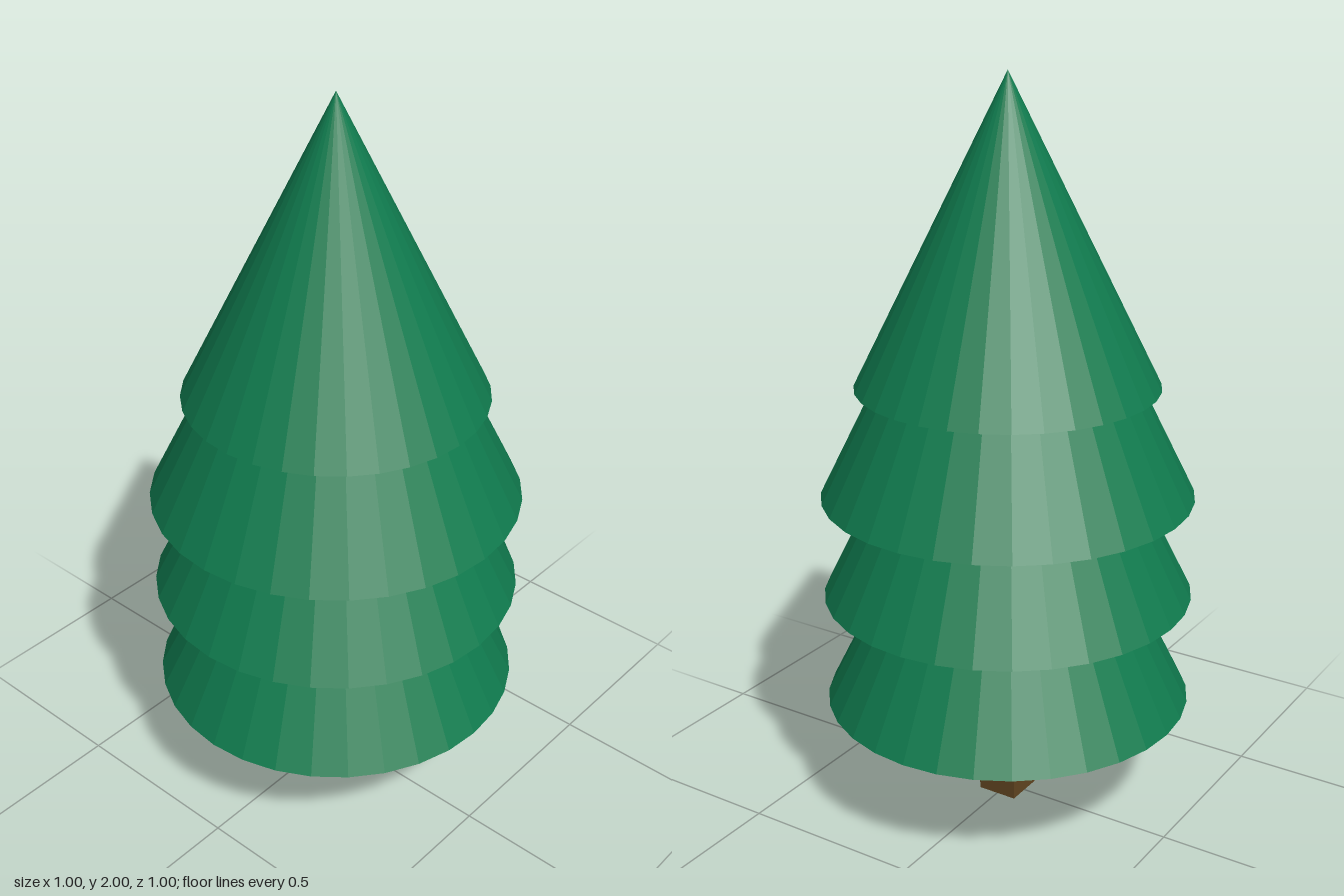
import * as THREE from 'three';

export function createModel() {
  const tree = new THREE.Group();
  tree.name = 'firTree';

  const green = new THREE.MeshStandardMaterial({ color: 0x107c4f });
  green.name = 'needleGreen';
  green.flatShading = true;
  const brown = new THREE.MeshStandardMaterial({ color: 0x654822 });
  brown.name = 'barkBrown';
  brown.flatShading = true;

  // Square trunk, narrowing towards the ground
  const trunkHeight = 0.32;
  const trunkGeometry = new THREE.CylinderGeometry(0.073 * Math.SQRT2, 0.056 * Math.SQRT2, trunkHeight, 4);
  trunkGeometry.rotateY(Math.PI / 4);
  const trunk = new THREE.Mesh(trunkGeometry, brown);
  trunk.name = 'trunk';
  trunk.position.y = trunkHeight / 2;
  tree.add(trunk);

  // Overlapping cones of foliage, from the bottom up
  const tiers = [
    { name: 'lowerFoliage', base: 0.313, radius: 0.498, height: 1 },
    { name: 'middleFoliage', base: 0.62, radius: 0.498, height: 1 },
    { name: 'upperFoliage', base: 0.9, radius: 0.498, height: 1 },
    { name: 'topFoliage', base: 1.197, radius: 0.402, height: 0.803 },
  ];
  for (const { name, base, radius, height } of tiers) {
    const tier = new THREE.Mesh(new THREE.ConeGeometry(radius, height, 32), green);
    tier.name = name;
    tier.position.y = base + height / 2;
    tree.add(tier);
  }

  return tree;
}
